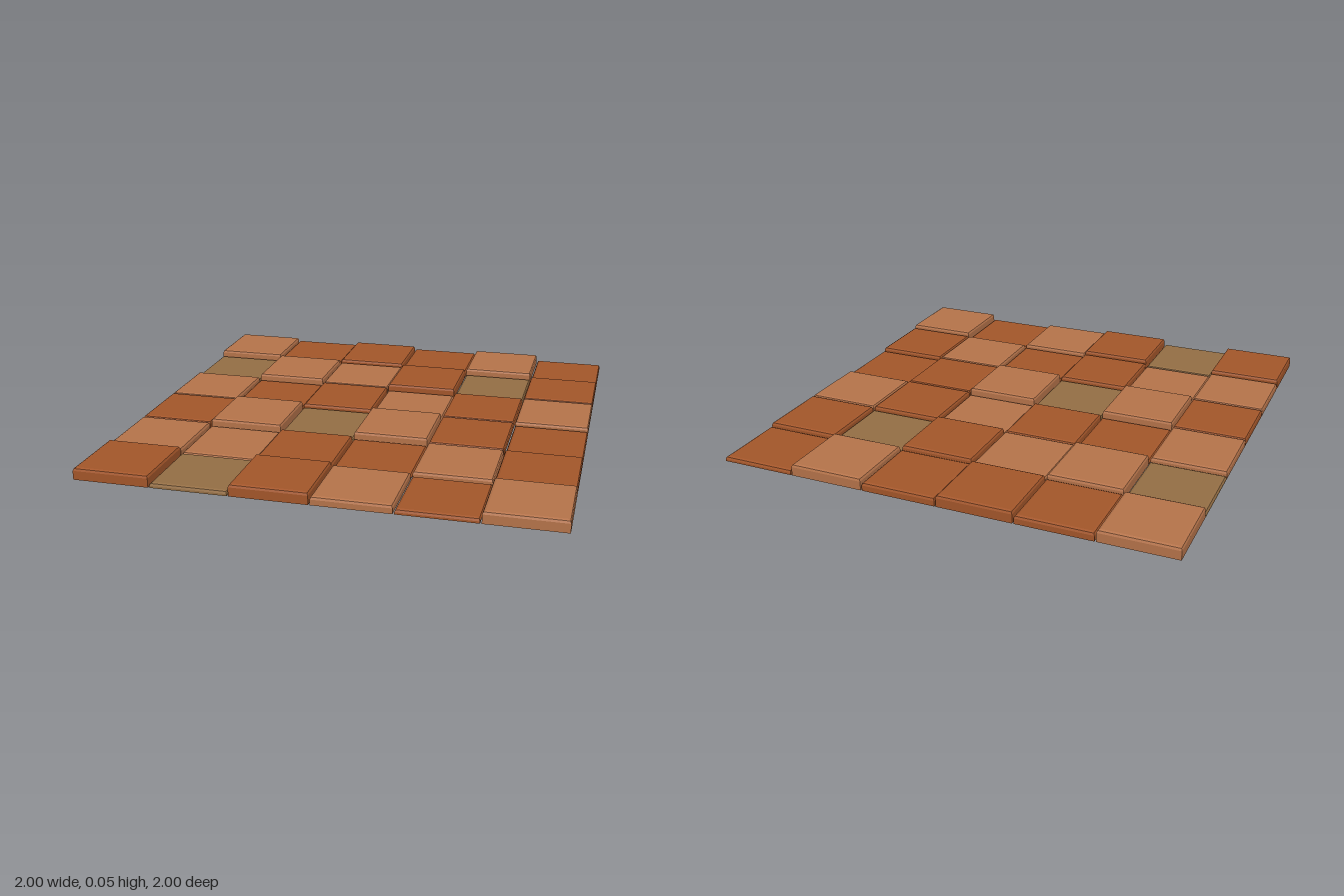
import * as THREE from 'three';

// Rows run back to front, columns from -x to +x
const COLORS = ['LRRRLR', 'OLLROR', 'LRRLRL', 'RLOLRR', 'LLRRLR', 'RORLRL'];
const LEVELS = ['212120', '021201', '101011', '120210', '101011', '202102'];
const HEIGHTS = [0.022, 0.037, 0.052];
const COUNT = 6;
const TILE = 0.328;
const STEP = (2 - TILE) / (COUNT - 1);

function material(name, color) {
  return new THREE.MeshStandardMaterial({ name, color, side: THREE.DoubleSide });
}

// Hollow square tile, open underneath, with a softened top edge
function tileGeometry(height) {
  const half = TILE / 2;
  const profile = [
    [half, 0],
    [half, height - 0.013],
    [half - 0.004, height - 0.004],
    [half - 0.013, height],
    [0, height],
  ].map(([r, y]) => new THREE.Vector2(r * Math.SQRT2, y));
  const geometry = new THREE.LatheGeometry(profile, 4, Math.PI / 4).toNonIndexed();
  geometry.computeVertexNormals();
  return geometry;
}

export function createModel() {
  const group = new THREE.Group();
  group.name = 'tiledFloor';
  const materials = {
    R: material('rust clay', 0xa3562a),
    L: material('light clay', 0xb5734a),
    O: material('olive clay', 0x946e44),
  };
  const geometries = HEIGHTS.map(tileGeometry);

  // Lay the tiles in a square grid
  for (let row = 0; row < COUNT; row++) {
    for (let col = 0; col < COUNT; col++) {
      const tile = new THREE.Mesh(geometries[+LEVELS[row][col]], materials[COLORS[row][col]]);
      tile.name = `tile row ${row + 1} column ${col + 1}`;
      tile.position.set((col - 2.5) * STEP, 0, (row - 2.5) * STEP);
      group.add(tile);
    }
  }
  return group;
}
